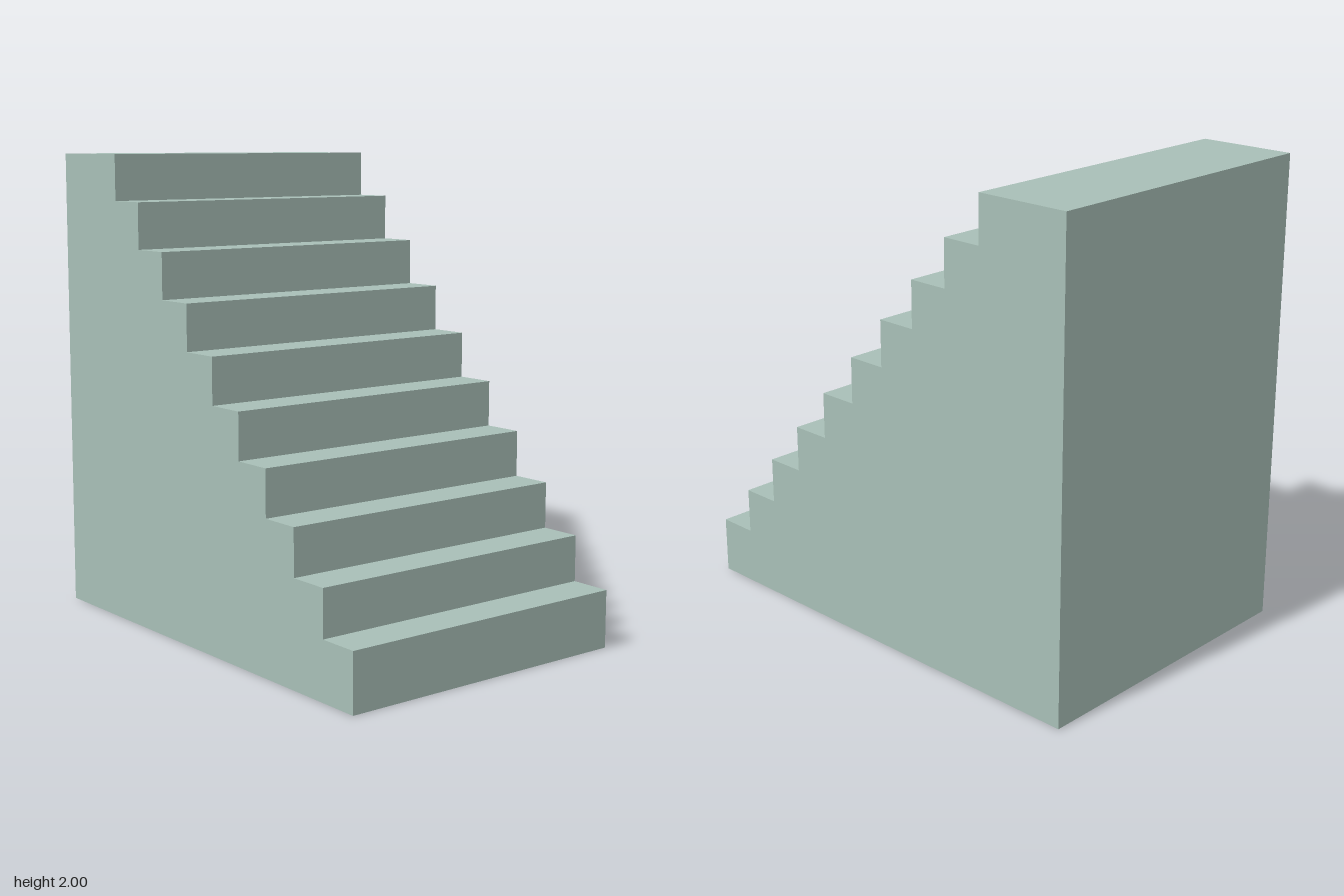
import * as THREE from 'three';

const WIDTH = 1.33;
const STEPS = 10;
const FIRST_RISE = 0.243; // the bottom step is a little taller
const RISE = (2 - FIRST_RISE) / (STEPS - 1);
const TREAD = 0.1764;

export function createModel() {
  const group = new THREE.Group();
  group.name = 'staircase';
  const paleGreen = new THREE.MeshStandardMaterial({ color: 0xa8bfb7 });
  paleGreen.name = 'paleGreen';

  // Side profile: x runs along the depth, from the back (-1) to the front (1)
  const profile = new THREE.Shape();
  profile.moveTo(-1, 0);
  profile.lineTo(1, 0);
  for (let i = 0; i < STEPS; i++) {
    const y = FIRST_RISE + i * RISE;
    profile.lineTo(1 - i * TREAD, y);
    // The last tread is the landing, reaching the back wall
    profile.lineTo(i < STEPS - 1 ? 1 - (i + 1) * TREAD : -1, y);
  }
  profile.closePath();

  // Solid flight of steps, turned so that the profile faces sideways
  const geometry = new THREE.ExtrudeGeometry(profile, { depth: WIDTH, bevelEnabled: false });
  geometry.translate(0, 0, -WIDTH / 2);
  geometry.rotateY(-Math.PI / 2);

  const steps = new THREE.Mesh(geometry, paleGreen);
  steps.name = 'steps';
  group.add(steps);
  return group;
}
